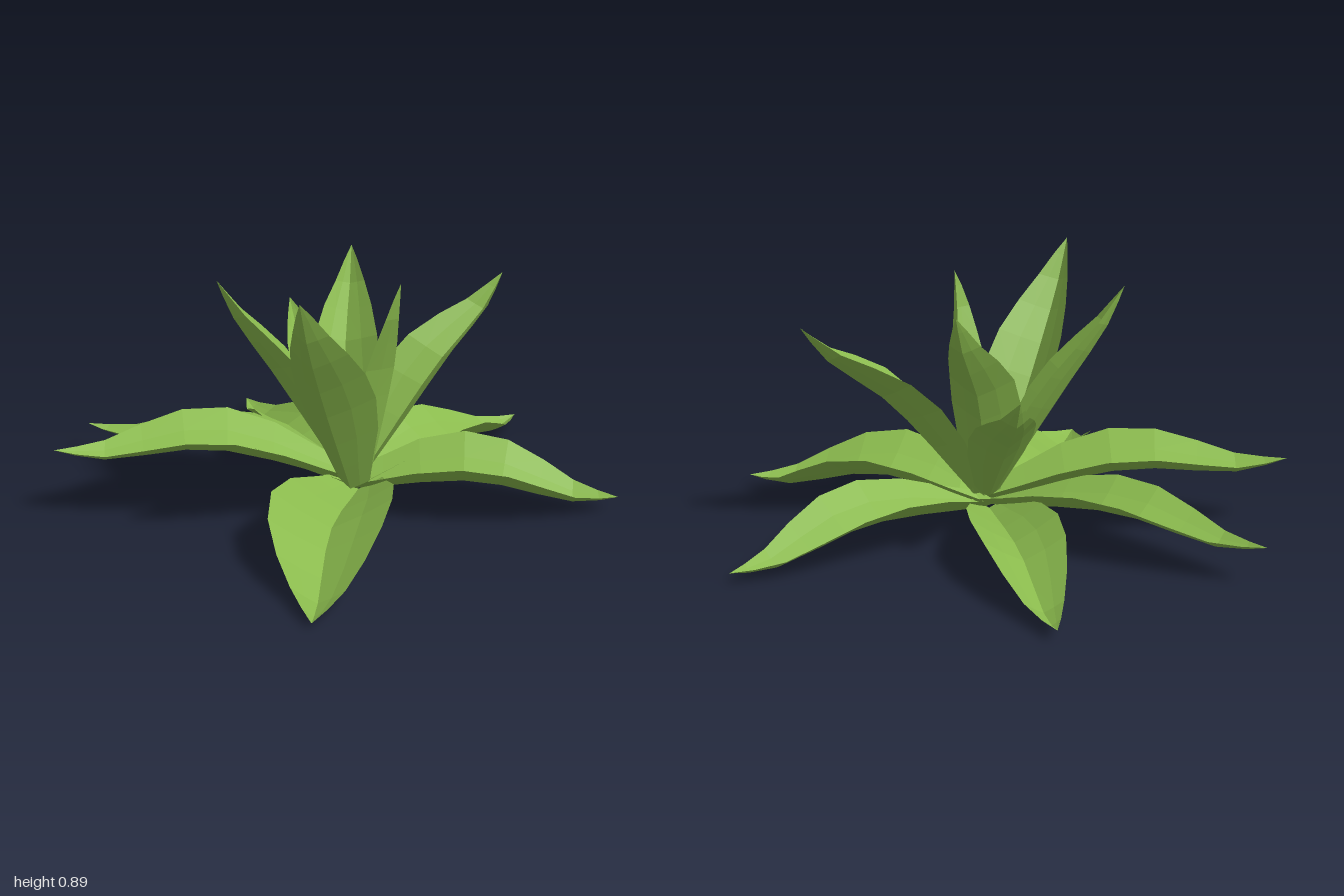
import * as THREE from 'three';

const leafMaterial = new THREE.MeshStandardMaterial({
  color: 0x8aba4d, flatShading: true, side: THREE.DoubleSide, roughness: 0.9,
});

// half-width along the leaf, as [t, fraction of the widest half-width]
const OUTLINE = [[0, 0.42], [0.12, 0.62], [0.26, 0.88], [0.42, 1], [0.56, 0.92], [0.7, 0.7], [0.83, 0.43], [0.93, 0.2], [1, 0]];
const ACROSS = [-1, -0.5, 0, 0.5, 1];

// A thin leaf folded into a gutter along its midrib, which runs base - mid - tip.
// facing is the [x, z] direction its underside looks towards.
function makeLeaf(name, { base, mid, tip, halfWidth, fold, facing = [tip[0] - base[0], tip[2] - base[2]] }) {
  const [b, m, e] = [base, mid, tip].map((p) => new THREE.Vector3(...p));
  const bend = m.clone().lerp(e, 0.72);
  bend.y -= 0.035;
  const midrib = new THREE.CatmullRomCurve3([b, m, bend, e], false, 'centripetal');

  const side = new THREE.Vector3(-facing[1], 0, facing[0]).normalize();
  const positions = [], index = [], n = ACROSS.length;

  OUTLINE.forEach(([t, w], i) => {
    const centre = midrib.getPointAt(t);
    const inner = side.clone().cross(midrib.getTangentAt(t)).normalize();
    for (const s of ACROSS) {
      const lift = fold * Math.pow(Math.abs(s), 1.15);
      const p = centre.clone()
        .addScaledVector(side, s * w * halfWidth)
        .addScaledVector(inner, lift * w * halfWidth);
      positions.push(p.x, p.y, p.z);
    }
    if (i === 0) return;
    for (let j = 0; j < n - 1; j++) {
      const a = (i - 1) * n + j, c = a + n;
      index.push(a, a + 1, c);
      if (i < OUTLINE.length - 1) index.push(a + 1, c + 1, c);
    }
  });

  const geometry = new THREE.BufferGeometry();
  geometry.setAttribute('position', new THREE.Float32BufferAttribute(positions, 3));
  geometry.setIndex(index);
  geometry.computeVertexNormals();
  const mesh = new THREE.Mesh(geometry, leafMaterial);
  mesh.name = name;
  return mesh;
}

// wide, spreading leaves
const LOWER = [
  { base: [0.07, 0.05, -0.04], mid: [0.5, 0.11, -0.07], tip: [0.99, 0.06, -0.17], halfWidth: 0.19 },
  { base: [0.07, 0.05, -0.06], mid: [0.29, 0.09, -0.48], tip: [0.52, 0.05, -0.94], halfWidth: 0.165 },
  { base: [0.05, 0.05, -0.06], mid: [-0.27, 0.09, -0.47], tip: [-0.58, 0.05, -0.86], halfWidth: 0.145 },
  { base: [0.05, 0.06, -0.05], mid: [-0.45, 0.14, -0.13], tip: [-1.0, 0.14, -0.2], halfWidth: 0.14 },
  { base: [0.05, 0.08, -0.04], mid: [-0.4, 0.21, 0.11], tip: [-0.89, 0.25, 0.35], halfWidth: 0.19, fold: 0.5 },
  { base: [0.09, 0.05, -0.04], mid: [0.1, 0.08, 0.4], tip: [0.18, 0.03, 0.94], halfWidth: 0.2 },
];

// narrower, upright leaves
const UPPER = [
  { base: [0.1, 0.1, -0.08], mid: [0.32, 0.46, -0.28], tip: [0.51, 0.75, -0.51], halfWidth: 0.13, facing: [0.6, -0.75] },
  { base: [0.04, 0.1, -0.08], mid: [-0.14, 0.36, -0.3], tip: [-0.29, 0.6, -0.51], halfWidth: 0.11 },
  { base: [0.06, 0.1, -0.08], mid: [-0.01, 0.49, -0.25], tip: [-0.04, 0.83, -0.46], halfWidth: 0.12 },
  { base: [0.04, 0.1, -0.02], mid: [-0.19, 0.5, 0.07], tip: [-0.35, 0.84, 0.17], halfWidth: 0.12 },
  { base: [0.09, 0.1, 0.08], mid: [0.06, 0.46, 0.31], tip: [0.05, 0.9, 0.58], halfWidth: 0.14 },
  { base: [0.13, 0.1, -0.05], mid: [0.22, 0.53, -0.01], tip: [0.26, 0.85, 0.09], halfWidth: 0.115, facing: [1, -0.05] },
];

export function createModel() {
  const plant = new THREE.Group();
  plant.name = 'leafyPlant';
  for (const [name, leaves, fold] of [['lowerLeaf', LOWER, 0.6], ['upperLeaf', UPPER, 0.75]]) {
    const ring = new THREE.Group();
    ring.name = name + 'Ring';
    leaves.forEach((leaf, i) => ring.add(makeLeaf(name + (i + 1), { fold, ...leaf })));
    plant.add(ring);
  }
  return plant;
}
